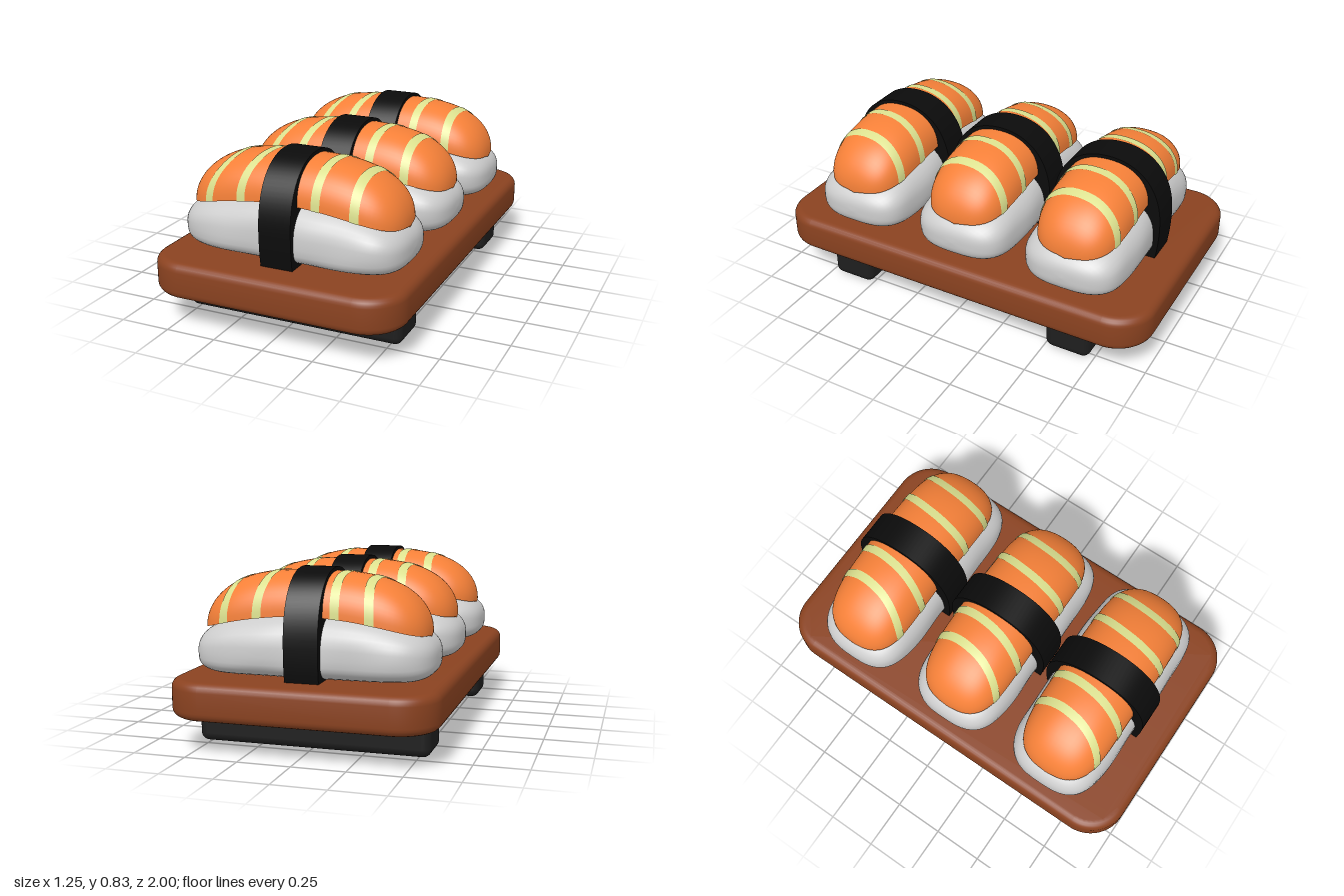
import * as THREE from 'three';
import { toCreasedNormals } from 'three/addons/utils/BufferGeometryUtils.js';
import { RoundedBoxGeometry } from 'three/addons/geometries/RoundedBoxGeometry.js';

const paint = (color, side = THREE.FrontSide) => new THREE.MeshStandardMaterial({ color, side });
const wood = paint(0x8a4220);
const legBlack = paint(0x1e1e1e);
const seaweed = paint(0x0b0b0b);
const riceGrey = paint(0xcccccc);
const salmon = paint(0xf58038);
const fat = paint(0xdbe08e, THREE.DoubleSide);

function part(name, geometry, material) {
  const mesh = new THREE.Mesh(geometry, material);
  mesh.name = name;
  return mesh;
}

// Skin of point(i, j) over a grid; wrap closes each cross-section into a ring
function skin(rows, cols, wrap, point) {
  const pos = [], idx = [];
  for (let i = 0; i <= rows; i++) {
    for (let j = 0; j < cols; j++) pos.push(...point(i, j));
  }
  for (let i = 0; i < rows; i++) {
    for (let j = 0; j < (wrap ? cols : cols - 1); j++) {
      const k = (j + 1) % cols;
      const a = i * cols + j, b = a + cols, c = (i + 1) * cols + k, d = i * cols + k;
      idx.push(a, b, c, a, c, d);
    }
  }
  const geo = new THREE.BufferGeometry();
  geo.setAttribute('position', new THREE.Float32BufferAttribute(pos, 3));
  geo.setIndex(idx);
  geo.computeVertexNormals();
  return geo;
}

const spow = (v, p) => Math.sign(v) * Math.abs(v) ** p;
const endRound = (s, p, q) => Math.max(0, 1 - Math.abs(s) ** p) ** q;
// Stations from -1 to 1, crowded towards the rounded ends
const station = (i, n) => Math.sin((i / n - 0.5) * Math.PI);

// Rice: soft squared pillow, drooping towards its ends
function riceGeometry() {
  const rows = 48, cols = 40, mid = 0.435;
  return skin(rows, cols, true, (i, j) => {
    const s = station(i, rows), th = (j / cols) * Math.PI * 2;
    const e = endRound(s, 8, 1 / 3);
    const lump = 1 + 0.012 * Math.sin(7 * s + 2 * th) + 0.008 * Math.sin(11 * s - 3 * th);
    const width = (0.25 + 0.012 * s) * endRound(s, 7, 0.36) * lump;
    const up = Math.sin(th) > 0;
    const height = (up ? 0.205 - 0.095 * s * s : 0.108) * e;
    const y = mid + height * spow(Math.sin(th), up ? 0.77 : 0.65);
    return [0.563 * s, Math.max(0.332, y), width * spow(Math.cos(th), up ? 0.77 : 0.65)];
  });
}

// Salmon: domed slab; grow lifts the fat stripes just off its surface
const HALF = 0.53, ARC = 28;
function salmonPoint(x, th, grow = 1) {
  const s = THREE.MathUtils.clamp(x / HALF, -1, 1);
  const base = 0.622 - 0.085 * s * s;
  const top = 0.545 + 0.265 * endRound(s, 3, 0.5);
  const width = 0.212 * endRound(s, 6, 0.4);
  return [
    x + 0.005,
    base + (top - base) * grow * spow(Math.sin(th), 0.9),
    width * grow * spow(Math.cos(th), 0.9),
  ];
}

function salmonGeometry() {
  const rows = 48;
  const geo = skin(rows, ARC + 2, true, (i, j) => {
    const x = HALF * station(i, rows);
    if (j <= ARC) return salmonPoint(x, (j / ARC) * Math.PI);
    const p = salmonPoint(x, 0);
    return [p[0], p[1] - 0.01, 0];
  });
  return toCreasedNormals(geo, 0.9);
}

// Stripe bends across the dome: x = mid + lean * c + bow * c^2
function stripeGeometry([mid, lean, bow]) {
  return skin(4, ARC + 1, false, (i, j) => {
    const th = (j / ARC) * Math.PI, c = Math.cos(th);
    return salmonPoint(mid + lean * c + bow * c * c + (i / 4 - 0.5) * 0.042, th, 1.018);
  });
}

// Seaweed band: arch outline extruded along x
function bandGeometry() {
  const arch = new THREE.Shape();
  arch.moveTo(-0.268, 0.333);
  arch.lineTo(0.268, 0.333);
  arch.quadraticCurveTo(0.28, 0.4, 0.28, 0.5);
  arch.bezierCurveTo(0.28, 0.72, 0.16, 0.827, 0, 0.827);
  arch.bezierCurveTo(-0.16, 0.827, -0.28, 0.72, -0.28, 0.5);
  arch.quadraticCurveTo(-0.28, 0.4, -0.268, 0.333);
  const geo = new THREE.ExtrudeGeometry(arch, { depth: 0.16, bevelEnabled: false, curveSegments: 20 });
  geo.translate(0, 0, -0.08).rotateY(Math.PI / 2);
  return toCreasedNormals(geo, 0.6);
}

// Board: rounded rectangle with softened edges
function boardGeometry() {
  const b = 0.04, w = 0.625 - b, d = 1 - b, r = 0.15;
  const shape = new THREE.Shape();
  shape.absarc(w - r, d - r, r, 0, Math.PI / 2);
  shape.absarc(-w + r, d - r, r, Math.PI / 2, Math.PI);
  shape.absarc(-w + r, -d + r, r, Math.PI, Math.PI * 1.5);
  shape.absarc(w - r, -d + r, r, Math.PI * 1.5, Math.PI * 2);
  const geo = new THREE.ExtrudeGeometry(shape, {
    depth: 0.175 - 2 * b, bevelSize: b, bevelThickness: b, bevelSegments: 5, curveSegments: 10,
  });
  geo.rotateX(-Math.PI / 2).translate(0, 0.16 + b, 0);
  return toCreasedNormals(geo, 0.6);
}

export function createModel() {
  const model = new THREE.Group();
  model.name = 'sushiBoard';
  model.add(part('board', boardGeometry(), wood));

  // Two runners under the board
  const legGeo = new RoundedBoxGeometry(1.11, 0.22, 0.23, 4, 0.04);
  for (const side of [1, -1]) {
    const leg = part(side > 0 ? 'frontLeg' : 'backLeg', legGeo, legBlack);
    leg.position.set(0, 0.11, side * 0.615);
    model.add(leg);
  }

  // Three identical pieces in a row
  const rice = riceGeometry(), fish = salmonGeometry(), band = bandGeometry();
  const stripes = [
    [-0.29, -0.043, -0.05],
    [-0.145, -0.035, -0.03],
    [0.185, -0.03, 0.01],
    [0.355, -0.022, 0.015],
  ].map(stripeGeometry);
  [['front', 0.578], ['middle', -0.002], ['back', -0.582]].forEach(([place, z]) => {
    const piece = new THREE.Group();
    piece.name = place + 'Sushi';
    piece.position.z = z;
    piece.add(part('rice', rice, riceGrey), part('salmon', fish, salmon), part('seaweedBand', band, seaweed));
    stripes.forEach((geo) => piece.add(part('fatStripe', geo, fat)));
    model.add(piece);
  });
  return model;
}
